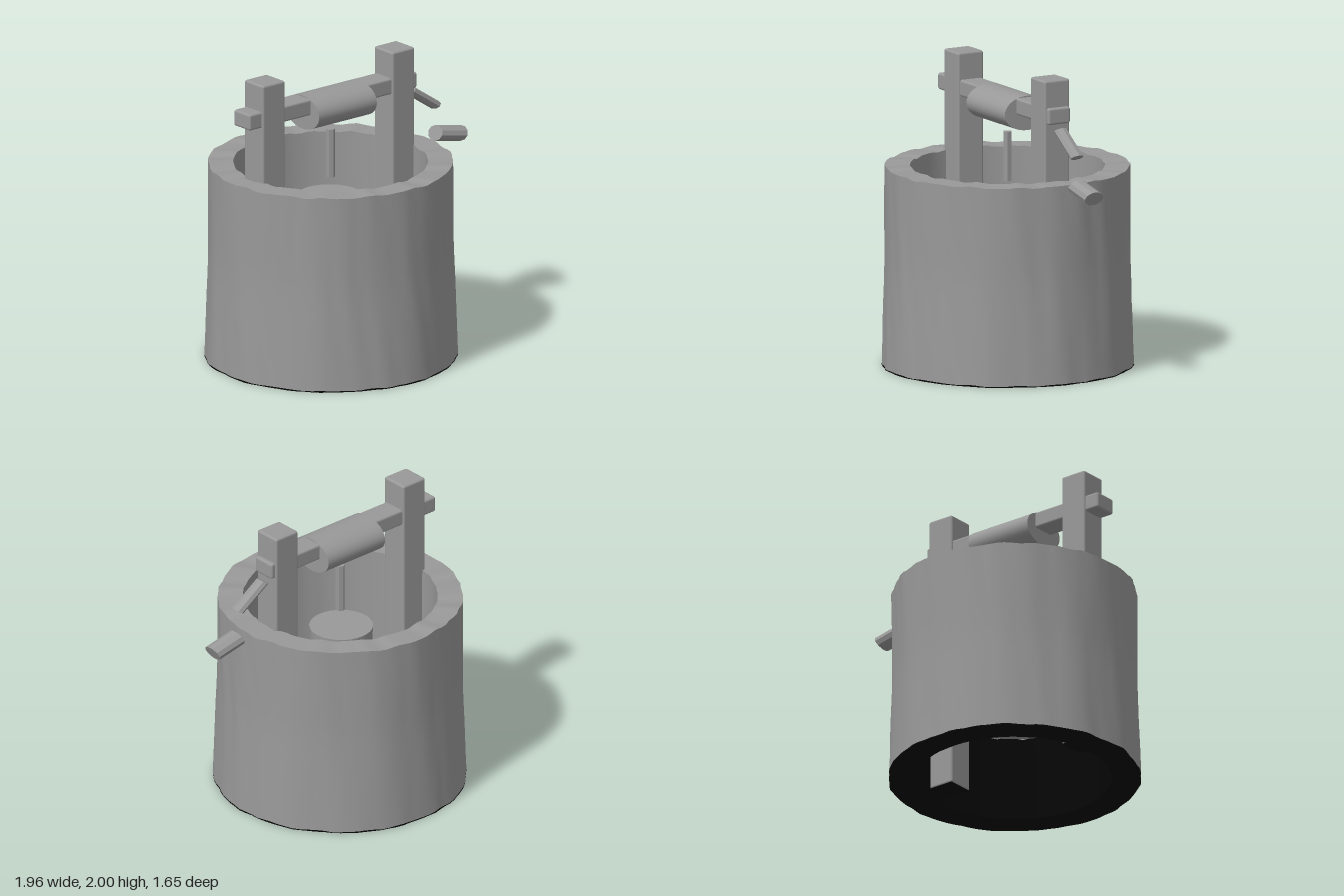
import * as THREE from 'three';
import { toCreasedNormals } from 'three/addons/utils/BufferGeometryUtils.js';
import { RoundedBoxGeometry } from 'three/addons/geometries/RoundedBoxGeometry.js';

const CX = -0.155; // axis of the well
const INNER = 0.638, TOP = 1.325, WATER = 0.58, LIP = 0.008;
// Heights of the ragged colour borders as stored in the vertex buffers
const WATER_ROW = Math.fround(WATER), LIP_ROW = Math.fround(LIP);
const V = (x, y, z = 0) => new THREE.Vector3(x, y, z);
const outerRadius = (y) => 0.827 - 0.025 * Math.min(1, y / 0.7);

// Turned strip of the wall, with a rippled face and uneven edges
function roughRing(profile) {
  const geo = new THREE.LatheGeometry(profile.map(([r, y]) => new THREE.Vector2(r, y)), 96);
  const p = geo.attributes.position;
  for (let i = 0; i < p.count; i++) {
    const x = p.getX(i), y = p.getY(i), z = p.getZ(i);
    const a = Math.atan2(z, x), r = Math.hypot(x, z);
    const ripple = 0.45 * Math.sin(9 * a + 1.2 * y + 1.5 * Math.sin(2 * a))
      + 0.35 * Math.sin(19 * a - 2.1 * y + 2 * Math.sin(3 * a))
      + 0.25 * Math.sin(34 * a + 3 * Math.sin(3 * y + a));
    const s = 1 + (r > 0.7 ? 0.009 : 0.003) * ripple / r;
    const wave = 0.6 * Math.sin(17 * a) + 0.4 * Math.sin(29 * a + 2);
    const lift = y > 1.3 ? 0.007 : y === WATER_ROW ? 0.015 : y === LIP_ROW ? 0.004 : 0;
    p.setXYZ(i, x * s, y + lift * wave, z * s);
  }
  return toCreasedNormals(geo, 0.7);
}

// Cylinder from a to b with slanted ends; cap is the half-width of each end in the xy plane
function slantedRod(a, b, cap, halfZ, sides) {
  const geo = new THREE.CylinderGeometry(1, 1, 1, sides);
  const m = new THREE.Matrix4().makeBasis(cap, a.clone().sub(b), V(0, 0, halfZ));
  m.setPosition(a.clone().add(b).multiplyScalar(0.5));
  return toCreasedNormals(geo.applyMatrix4(m), 0.3);
}

export function createModel() {
  const model = new THREE.Group();
  model.name = 'well';
  const grey = new THREE.MeshStandardMaterial({ color: 0x999999, side: THREE.DoubleSide });
  grey.name = 'grey';
  const black = new THREE.MeshStandardMaterial({ color: 0x060606 });
  black.name = 'black';

  const add = (name, geometry, x = 0, y = 0, z = 0, material = grey) => {
    const mesh = new THREE.Mesh(geometry, material);
    mesh.name = name;
    mesh.position.set(x, y, z);
    model.add(mesh);
  };

  // Wall: grey outside, rim and upper shaft
  const outer = [[outerRadius(LIP), LIP]];
  for (let i = 1; i <= 12; i++) outer.push([outerRadius(i / 12 * TOP), i / 12 * TOP]);
  add('wall', roughRing([...outer, [INNER, TOP], [INNER, WATER]]), CX);

  // Black shaft below the water, underside and ragged lower lip
  add('lowerShaft', roughRing([[INNER, WATER], [INNER, 0], [outerRadius(0), 0],
    [outerRadius(LIP), LIP]]), CX, 0, 0, black);

  // Water surface, open sheet seen from both sides
  add('water', new THREE.CircleGeometry(0.622, 48).rotateX(-Math.PI / 2), CX, WATER - 0.01);

  // Posts standing in the shaft, black underneath
  for (const [name, x] of [['rightPost', -0.72], ['leftPost', 0.392]]) {
    add(name, new RoundedBoxGeometry(0.192, 1.93, 0.192, 2, 0.015), x, 1.035, 0,
      [grey, grey, grey, black, grey, grey]);
  }

  // Cross beam with the flattened winding drum
  add('beam', new RoundedBoxGeometry(1.435, 0.11, 0.165, 2, 0.015), -0.2, 1.765);
  const drum = new THREE.CylinderGeometry(0.17, 0.17, 0.495, 40).rotateZ(Math.PI / 2);
  add('drum', drum.scale(1, 0.115 / 0.17, 1), -0.15, 1.715);

  // Rope and bucket
  add('rope', toCreasedNormals(new THREE.CylinderGeometry(0.03, 0.03, 0.33, 6), 0.3), CX, 1.385);
  add('bucket', new THREE.CylinderGeometry(0.21, 0.19, 0.32, 32), -0.163, 0.94, 0,
    [grey, grey, black]);

  // Crank arm and grip
  add('crankArm', slantedRod(V(0.523, 1.672), V(0.742, 1.526), V(0.03, 0.02), 0.046, 8));
  add('crankGrip', slantedRod(V(0.742, 1.333), V(0.959, 1.288), V(0.022, 0.048), 0.07, 10));

  return model;
}
